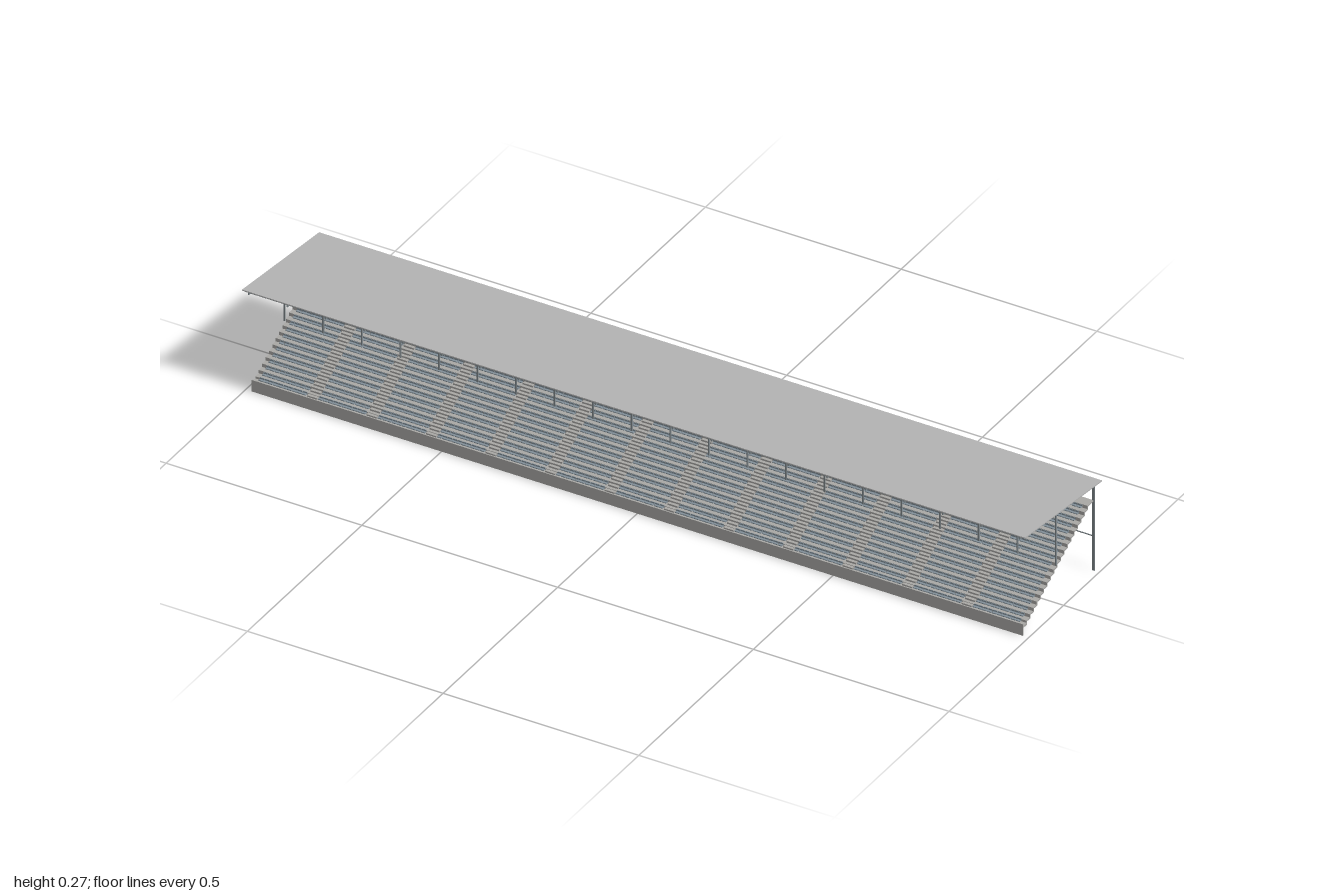
import * as THREE from 'three';
import { mergeGeometries } from 'three/addons/utils/BufferGeometryUtils.js';

const mat = (name, color) => {
  const m = new THREE.MeshStandardMaterial({ color });
  m.name = name;
  return m;
};

// Box placed by centre
const box = (w, h, d, x, y, z) => new THREE.BoxGeometry(w, h, d).translate(x, y, z);

// Rectangular bar between two points, w wide and h deep
function bar(a, b, w, h = w) {
  const p = new THREE.Vector3(...a), q = new THREE.Vector3(...b);
  const g = new THREE.BoxGeometry(w, h, p.distanceTo(q));
  const m = new THREE.Matrix4().lookAt(p, q, new THREE.Vector3(0, 1, 0));
  return g.applyMatrix4(m.setPosition(p.add(q).multiplyScalar(0.5)));
}

export function createModel() {
  const model = new THREE.Group();
  model.name = 'grandstand';
  const roofGrey = mat('roof grey', 0xb4b4b4);
  const concrete = mat('concrete grey', 0xaaa9a6);
  const steel = mat('steel grey', 0x7f888c);
  const seatBlue = mat('seat blue grey', 0x82909a);
  const add = (name, parts, material) => {
    const mesh = new THREE.Mesh(mergeGeometries(parts), material);
    mesh.name = name;
    model.add(mesh);
  };

  const half = 0.985, rows = 19;
  const frontZ = 0.151, frontY = 0.022, run = 0.0148, rise = 0.0085;
  const backZ = -0.157;
  const roofY = z => 0.2515 + z * 0.1095;

  // Stepped terrace with top walkway: zigzag sheet profile swept along x
  const top = [], under = [];
  for (let i = 0; i < rows; i++) {
    const s = -frontZ + i * run, y = frontY + i * rise;
    top.push([s, y], [s, y + (i ? 0 : 0.003)], [s + run, y + (i ? 0 : 0.003)]);
    under.push([s + 0.003, y - 0.003], [s + run + 0.003, y - 0.003]);
  }
  const deckY = frontY + rows * rise;
  top.push([-frontZ + rows * run, deckY], [-backZ, deckY]);
  under.push([-frontZ + rows * run + 0.003, deckY - 0.003], [-backZ, deckY - 0.003]);
  const outline = [...top, ...under.reverse()].map(p => new THREE.Vector2(...p));
  const clean = outline.filter((p, i) => !i || p.distanceTo(outline[i - 1]) > 1e-6);
  const terrace = new THREE.ExtrudeGeometry(new THREE.Shape(clean), { depth: 2 * half, bevelEnabled: false });
  add('terrace', [terrace.rotateY(Math.PI / 2).translate(-half, 0, 0)], concrete);

  // Front wall
  add('frontWall', [box(2 * half, 0.03, 0.003, 0, 0.015, frontZ)], concrete);

  // Seats in thirteen blocks, and half steps in the aisles between them
  const seats = [], halfSteps = [];
  const blocks = 13, blockPitch = 0.152, perBlock = 10, seatPitch = 0.0122;
  for (let r = 0; r < rows; r++) {
    const y = frontY + r * rise + (r ? 0 : 0.003), z = frontZ - (r + 1) * run;
    for (let b = 0; b < blocks; b++) {
      const cx = (b - (blocks - 1) / 2) * blockPitch;
      for (let k = 0; k < perBlock; k++) {
        const x = cx + (k - (perBlock - 1) / 2) * seatPitch;
        seats.push(box(0.0105, 0.002, 0.007, x, y + 0.0035, z + 0.0045));
        seats.push(box(0.0105, 0.006, 0.0015, x, y + 0.005, z + 0.0012));
      }
      if (b < blocks - 1) {
        halfSteps.push(box(0.026, rise / 2, run / 2, cx + blockPitch / 2, y + rise / 4, z + run / 4));
      }
    }
  }
  add('seats', seats, seatBlue);
  add('aisleSteps', halfSteps, concrete);

  // Columns, rafters and rear cross bracing, frame by frame
  const middle = [], rear = [], rafters = [], braces = [];
  const bays = 20, railY = 0.09, midZ = 0.008;
  const frameX = i => half - (i * 2 * half) / bays;
  for (let i = 0; i <= bays; i++) {
    const x = frameX(i);
    middle.push(bar([x, 0.105, midZ], [x, roofY(midZ) - 0.005, midZ], 0.0035, 0.003));
    rear.push(bar([x, 0, backZ], [x, roofY(backZ) - 0.005, backZ], i % 2 ? 0.0035 : 0.006, 0.003));
    rafters.push(bar([x, roofY(0.166) - 0.005, 0.166], [x, roofY(-0.164) - 0.005, -0.164], 0.003, 0.008));
    if (i % 2) {
      const x2 = frameX(i + 1);
      braces.push(bar([x, railY, backZ], [x2, 0.002, backZ], 0.002));
      braces.push(bar([x, railY, backZ], [x2, deckY - 0.003, backZ], 0.002));
    }
  }
  braces.push(bar([-half, railY, backZ], [half, railY, backZ], 0.002));
  add('middleColumns', middle, steel);
  add('rearColumns', rear, steel);
  add('rafters', rafters, steel);
  add('rearBracing', braces, steel);

  // Purlins under the roof sheet
  const purlins = [];
  for (const z of [0.164, 0.112, 0.06, midZ, -0.048, -0.104, -0.16]) {
    purlins.push(box(1.99, 0.003, 0.002, 0, roofY(z) - 0.003, z));
  }
  add('purlins', purlins, steel);

  // Sloping roof sheet
  add('roof', [bar([0, roofY(0.169), 0.169], [0, roofY(-0.168), -0.168], 2, 0.0025)], roofGrey);
  return model;
}
